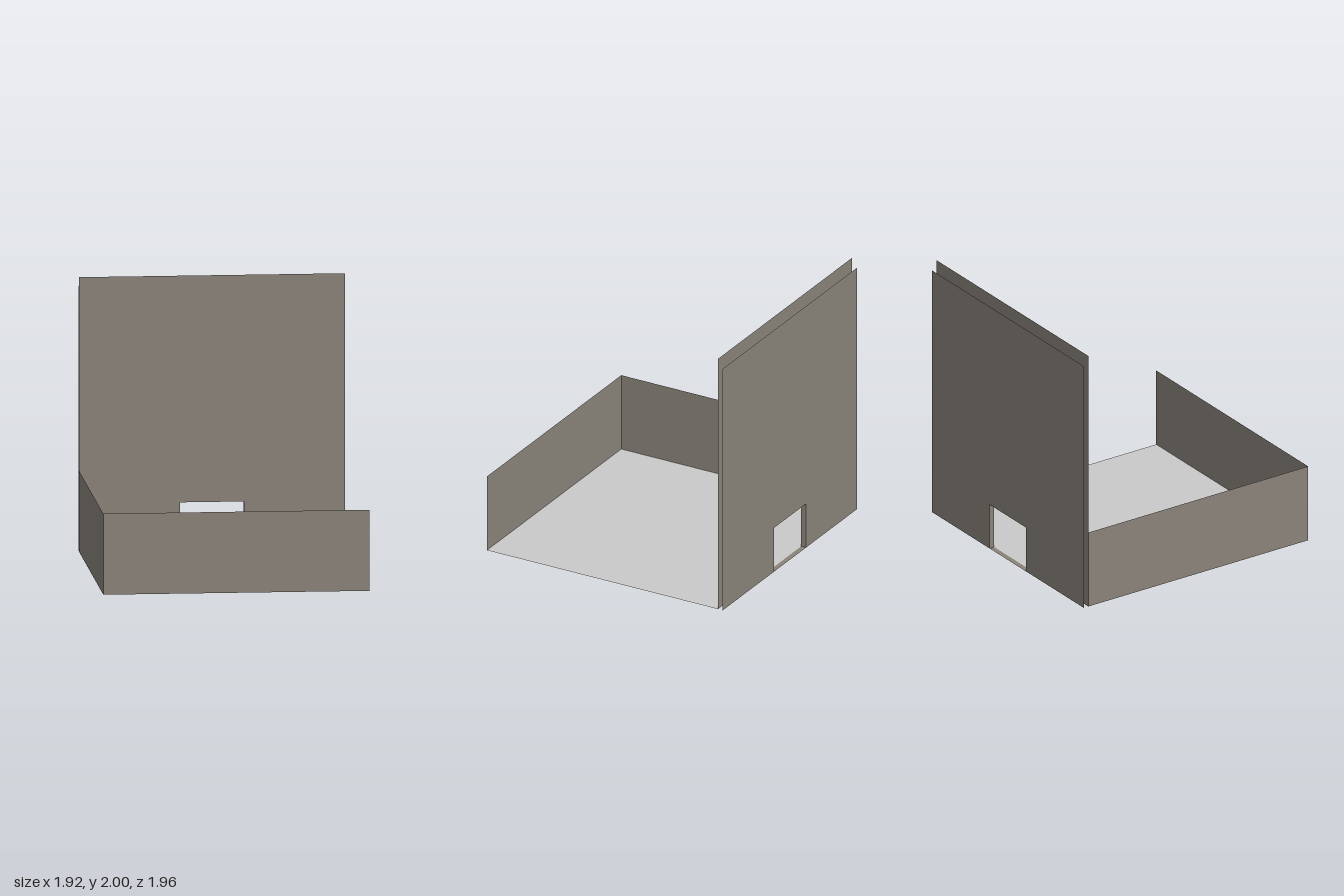
import * as THREE from 'three';

const W = 1.92, X = W / 2;                        // room width
const FRONT = 0.98, BACK = -0.94, OUTER = -0.98;  // wall planes along z
const LOW = 0.59;                                 // low wall height
const DOOR_X = 0.23, DOOR_H = 0.35;               // opening half width and height

export function createModel() {
  const model = new THREE.Group();
  model.name = 'openRoom';

  const wallPaint = new THREE.MeshStandardMaterial({ color: 0x8a837a, side: THREE.DoubleSide });
  wallPaint.name = 'wallPaint';
  const floorGrey = new THREE.MeshStandardMaterial({ color: 0xcacaca, side: THREE.DoubleSide });
  floorGrey.name = 'floorGrey';

  const add = (name, geometry, material, x, y, z, rx = 0, ry = 0) => {
    const mesh = new THREE.Mesh(geometry, material);
    mesh.name = name;
    mesh.position.set(x, y, z);
    mesh.rotation.set(rx, ry, 0);
    model.add(mesh);
  };
  const sheet = (w, h) => new THREE.PlaneGeometry(w, h);

  // Floor and the two low walls; the +x side stays open
  const depth = FRONT - BACK, midZ = (FRONT + BACK) / 2;
  add('floor', sheet(W, depth), floorGrey, 0, 0, midZ, -Math.PI / 2);
  add('frontWall', sheet(W, LOW), wallPaint, 0, LOW / 2, FRONT);
  add('sideWall', sheet(depth, LOW), wallPaint, -X, LOW / 2, midZ, 0, -Math.PI / 2);

  // Tall back wall: inner and slightly shorter outer sheet, each notched for the door
  const notchedSheet = (h) => new THREE.ShapeGeometry(new THREE.Shape([
    [-X, 0], [-DOOR_X, 0], [-DOOR_X, DOOR_H], [DOOR_X, DOOR_H],
    [DOOR_X, 0], [X, 0], [X, h], [-X, h],
  ].map(([x, y]) => new THREE.Vector2(x, y))));
  add('backWallInner', notchedSheet(2), wallPaint, 0, 0, BACK);
  add('backWallOuter', notchedSheet(1.93), wallPaint, 0, 0, OUTER, 0, Math.PI);

  // Door lining bridging the two sheets
  const gap = BACK - OUTER, gapZ = (BACK + OUTER) / 2;
  for (const side of [-1, 1]) {
    add(side > 0 ? 'doorJambLeft' : 'doorJambRight', sheet(gap, DOOR_H), wallPaint,
      side * DOOR_X, DOOR_H / 2, gapZ, 0, -side * Math.PI / 2);
  }
  add('doorLintel', sheet(DOOR_X * 2, gap), wallPaint, 0, DOOR_H, gapZ, Math.PI / 2);
  add('doorSill', sheet(DOOR_X * 2, gap), wallPaint, 0, 0, gapZ, -Math.PI / 2);

  return model;
}
